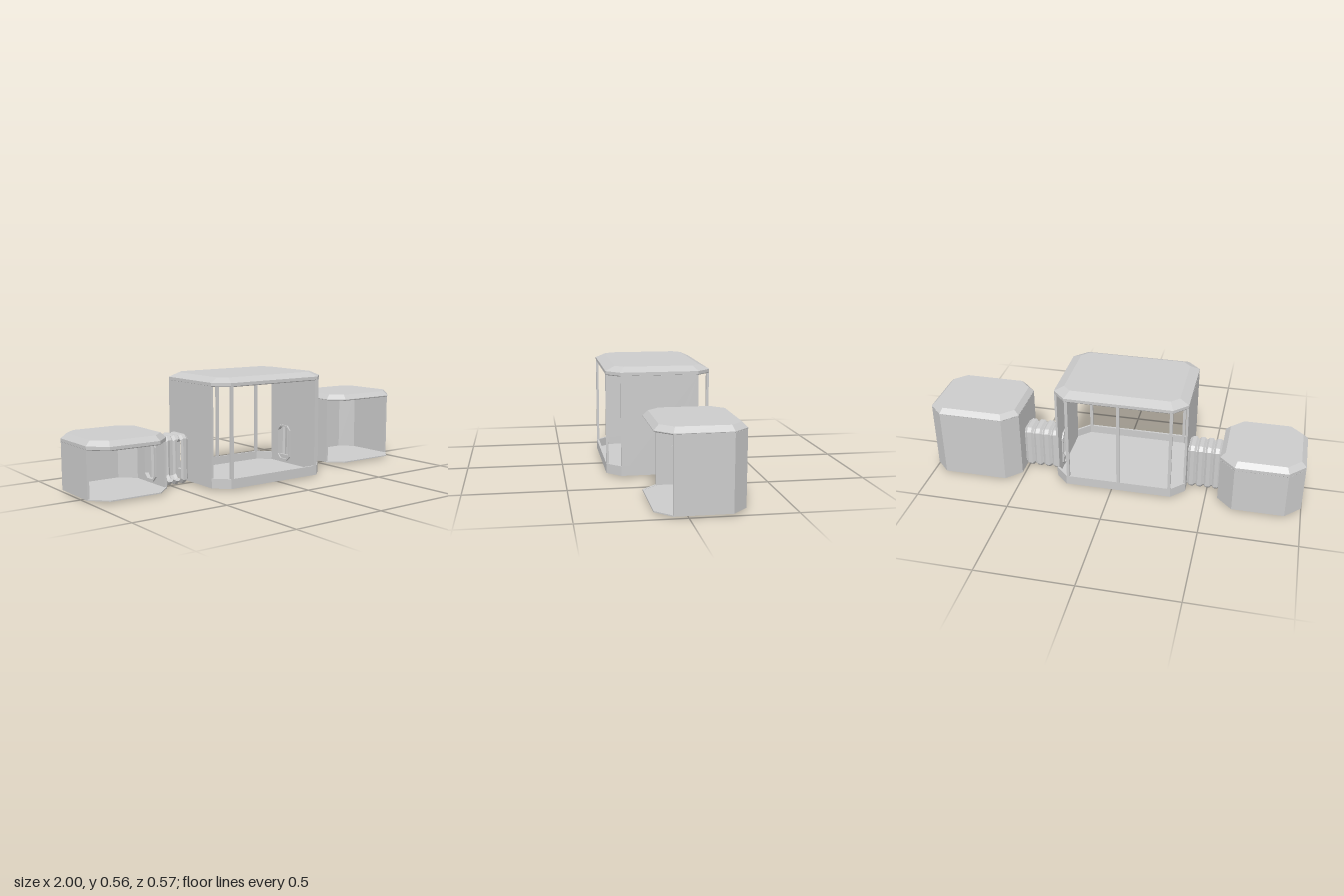
import * as THREE from 'three';

const mat = new THREE.MeshStandardMaterial({ color: 0xcccccc, flatShading: true, side: THREE.DoubleSide });
const T = 0.012; // wall thickness
const DOOR = { z: -0.0625, y: 0.13, w: 0.047, h: 0.092 };

function add(parent, geometry, name) {
  const mesh = new THREE.Mesh(geometry, mat);
  mesh.name = name;
  parent.add(mesh);
  return mesh;
}

// Chamfered rectangle as eight [u, v] corners
function octagon(u0, u1, v0, v1, c) {
  return [[u0, v1 - c], [u0, v0 + c], [u0 + c, v0], [u1 - c, v0],
    [u1, v0 + c], [u1, v1 - c], [u1 - c, v1], [u0 + c, v1]];
}

// Joins rings of points; can cap both ends or leave one side open
function skin(rings, { caps = false, openEdge = -1 } = {}) {
  const pos = [], n = rings[0].length, last = rings.length - 1;
  const tri = (...pts) => pts.forEach(p => pos.push(...p));
  for (let j = 0; j < last; j++) {
    for (let i = 0; i < n; i++) {
      if (i === openEdge) continue;
      const k = (i + 1) % n, lo = rings[j], hi = rings[j + 1];
      tri(lo[i], hi[i], lo[k]);
      tri(lo[k], hi[i], hi[k]);
    }
  }
  for (let i = 1; caps && i < n - 1; i++) {
    tri(rings[0][0], rings[0][i], rings[0][i + 1]);
    tri(rings[last][0], rings[last][i + 1], rings[last][i]);
  }
  const g = new THREE.BufferGeometry();
  g.setAttribute('position', new THREE.Float32BufferAttribute(pos, 3));
  g.computeVertexNormals();
  return g;
}

// Stacked plan outlines: profile is a list of [inset, y]
function stack(p, profile) {
  return skin(profile.map(([d, y]) =>
    octagon(p.x0 + d, p.x1 - d, p.z0 + d, p.z1 - d, p.c - 0.586 * d).map(([x, z]) => [x, y, z])), { caps: true });
}

const outline = (cx, w, h, c) =>
  octagon(cx - w, cx + w, DOOR.y - h, DOOR.y + h, c).map(q => new THREE.Vector2(...q));

// Upright wall from plan point a to b, thickened inwards, with optional doorway
function wall(parent, a, b, y0, y1, doorAt) {
  const dx = b[0] - a[0], dz = b[1] - a[1], len = Math.hypot(dx, dz);
  const shape = new THREE.Shape([[0, y0], [len, y0], [len, y1], [0, y1]].map(q => new THREE.Vector2(...q)));
  const g = new THREE.Group();
  g.name = 'wall';
  g.position.set(a[0], 0, a[1]);
  g.rotation.y = Math.atan2(-dz, dx);
  if (doorAt !== undefined) {
    const hole = outline(doorAt, DOOR.w, DOOR.h, 0.022);
    shape.holes.push(new THREE.Path(hole));
    const frame = new THREE.Shape(outline(doorAt, DOOR.w + 0.01, DOOR.h + 0.01, 0.026));
    frame.holes.push(new THREE.Path(hole));
    add(g, new THREE.ExtrudeGeometry(frame, { depth: T + 0.008, bevelEnabled: false }), 'doorFrame');
  }
  add(g, new THREE.ExtrudeGeometry(shape, { depth: T, bevelEnabled: false }), 'wallPanel');
  parent.add(g);
}

// Floor tray, selected walls and hollow bevelled roof
function pod(name, p) {
  const g = new THREE.Group();
  g.name = name;
  add(g, stack(p, [[0, 0.01], [0, p.rim], [T, p.rim], [T, 0.015]]), 'floor');
  add(g, stack(p, [[p.inset + T, p.top - 0.01], [T, p.eave], [0.003, p.eave], [0, p.eave + 0.004],
    [0, p.edge], [p.inset, p.top]]), 'roof');
  const o = octagon(p.x0, p.x1, p.z0, p.z1, p.c);
  for (const i of p.walls) {
    let doorAt;
    if (p.doors.includes(i)) doorAt = Math.abs(o[i][1] - DOOR.z);
    wall(g, o[i], o[i + 1], 0.01, p.eave + 0.003, doorAt);
  }
  return g;
}

// Ribbed tunnel along x, with a window cut through its front over the middle ribs
function tunnel(name, x0, x1, y0, y1) {
  const g = new THREE.Group();
  g.name = name;
  const ribs = 4, step = (x1 - x0) / ribs;
  const ring = (x, d) => octagon(y0 + d, y1 - d, DOOR.z - 0.068 + d, DOOR.z + 0.068 - d, 0.02)
    .map(([y, z]) => [x, y, z]);
  for (let r = 0; r < ribs; r++) {
    const rings = [[0, 0.008], [0.25, 0], [0.7, 0], [0.95, 0.008], [1, 0.008]]
      .map(([t, d]) => ring(x0 + (r + t) * step, d));
    const middle = r > 0 && r < ribs - 1;
    add(g, skin(rings, { openEdge: middle ? 6 : -1 }), 'tunnelRib');
  }
  return g;
}

export function createModel() {
  const model = new THREE.Group();
  model.name = 'linkedPods';

  // Central pavilion, open at front and back
  const c = { x0: -0.39, x1: 0.315, z0: -0.25, z1: 0.285, c: 0.07, rim: 0.06,
    eave: 0.52, edge: 0.54, top: 0.563, inset: 0.05, walls: [0, 4], doors: [0, 4] };
  const centre = pod('centrePod', c);
  const mid = (c.x0 + c.x1) / 2, left = c.x0 + c.c + 0.008, right = c.x1 - c.c - 0.01;
  const front = c.z1 - 0.007, back = c.z0 + 0.007;
  for (const [x, z] of [[left, front], [right, front], [left, back], [mid, back], [right, back]]) {
    add(centre, new THREE.BoxGeometry(0.016, 0.47, 0.013), 'post').position.set(x, 0.29, z);
  }
  model.add(centre);

  // Side pods, open at the front
  model.add(pod('lowPod', { x0: -1, x1: -0.565, z0: -0.287, z1: 0.155, c: 0.082, rim: 0.016,
    eave: 0.25, edge: 0.27, top: 0.295, inset: 0.026, walls: [0, 1, 2, 3, 4], doors: [4] }));
  model.add(pod('tallPod', { x0: 0.51, x1: 1, z0: -0.275, z1: 0.145, c: 0.075, rim: 0.016,
    eave: 0.37, edge: 0.377, top: 0.402, inset: 0.025, walls: [0, 1, 2, 3, 4], doors: [0] }));

  // Connecting tunnels
  model.add(tunnel('rightTunnel', -0.565, -0.39, 0, 0.257));
  model.add(tunnel('leftTunnel', 0.315, 0.51, 0.01, 0.25));
  return model;
}
